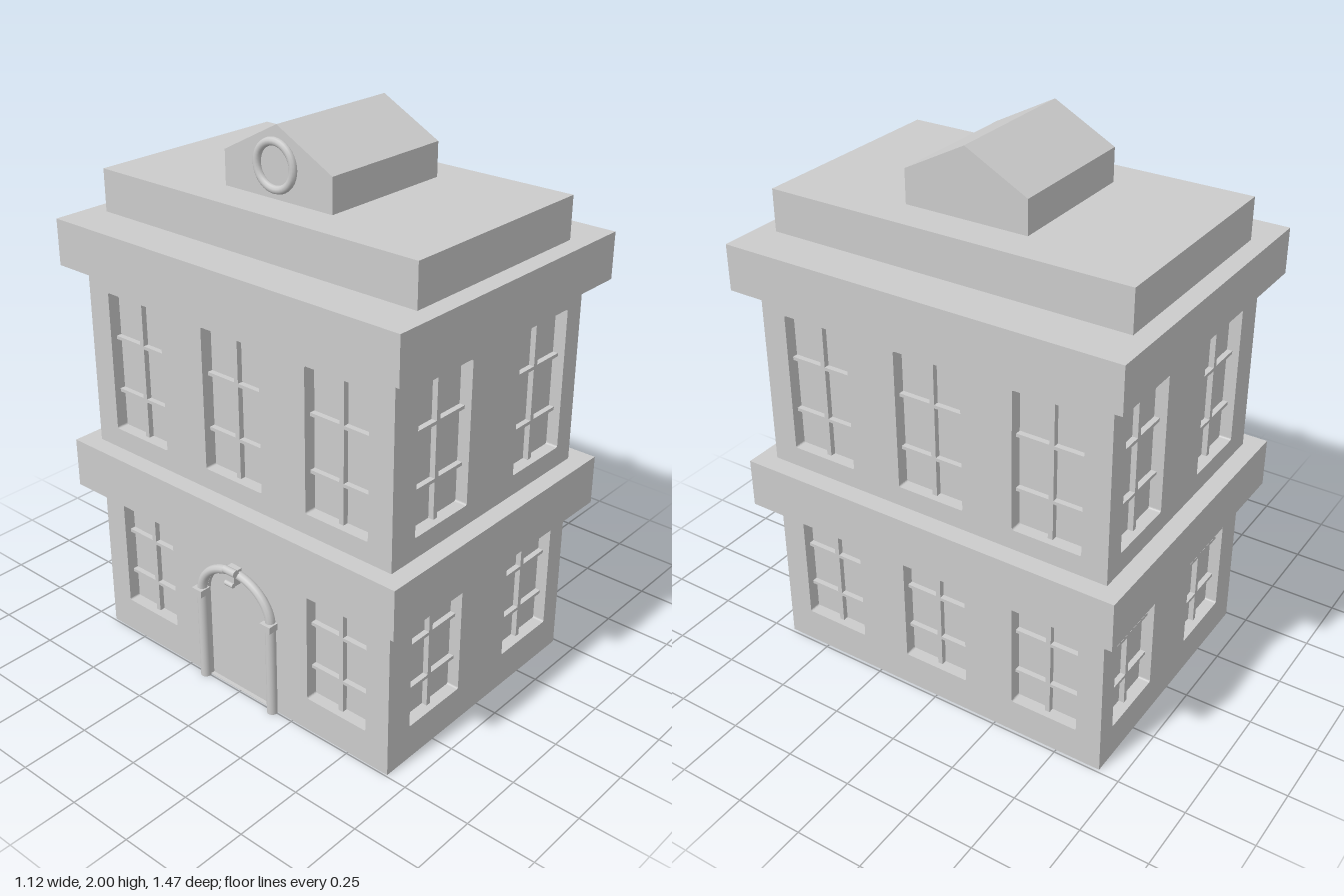
import * as THREE from 'three';

const mat = new THREE.MeshStandardMaterial({ color: 0xcccccc, flatShading: true, side: THREE.DoubleSide });
const smooth = new THREE.MeshStandardMaterial({ color: 0xcccccc, side: THREE.DoubleSide });

function add(parent, name, geo, x = 0, y = 0, z = 0, material = mat) {
  const mesh = new THREE.Mesh(geo, material);
  mesh.name = name;
  mesh.position.set(x, y, z);
  parent.add(mesh);
  return mesh;
}

// Outline of a window opening with slightly rounded corners
function windowOutline(T, cx, y0, y1, w = 0.262, r = 0.008) {
  const a = cx - w / 2, b = cx + w / 2, s = new T();
  s.moveTo(a + r, y0);
  s.lineTo(b - r, y0); s.quadraticCurveTo(b, y0, b, y0 + r);
  s.lineTo(b, y1 - r); s.quadraticCurveTo(b, y1, b - r, y1);
  s.lineTo(a + r, y1); s.quadraticCurveTo(a, y1, a, y1 - r);
  s.lineTo(a, y0 + r); s.quadraticCurveTo(a, y0, a + r, y0);
  return s;
}

// Outline of the arched doorway
function doorOutline(T) {
  const s = new T();
  s.moveTo(-0.15, 0.002);
  s.lineTo(0.15, 0.002);
  s.lineTo(0.15, 0.36);
  s.absellipse(0, 0.36, 0.15, 0.13, 0, Math.PI, false, 0);
  s.lineTo(-0.15, 0.002);
  return s;
}

// Strip that joins an opening to the pane set back behind it
function reveal(outline, depth) {
  const pts = outline.getPoints(8), n = pts.length;
  const geo = new THREE.PlaneGeometry(1, 1, n, 1);
  const pos = geo.attributes.position;
  for (let row = 0; row < 2; row++)
    for (let i = 0; i <= n; i++) {
      const p = pts[i % n];
      pos.setXYZ(row * (n + 1) + i, p.x, p.y, -row * depth);
    }
  geo.computeVertexNormals();
  return geo;
}

// One wall of one storey, facing local +z
function buildWall(parent, x0, x1, y0, y1, centres, w0, w1, bars, winW, hasDoor) {
  const shape = new THREE.Shape([[x0, y0], [x1, y0], [x1, y1], [x0, y1]].map(p => new THREE.Vector2(...p)));
  const depth = 0.045;
  for (const cx of centres) {
    const isDoor = hasDoor && cx === 0;
    const outline = T => isDoor ? doorOutline(T) : windowOutline(T, cx, w0, w1, winW);
    const d = isDoor ? 0.015 : depth;
    shape.holes.push(outline(THREE.Path));
    add(parent, isDoor ? 'doorReveal' : 'windowReveal', reveal(outline(THREE.Shape), d));
    add(parent, isDoor ? 'doorPanel' : 'windowPane', new THREE.ShapeGeometry(outline(THREE.Shape), 8), 0, 0, -d);
    if (isDoor) continue;
    // Glazing bars
    const z = -depth + 0.01;
    add(parent, 'verticalBar', new THREE.BoxGeometry(0.018, w1 - w0, 0.02), cx, (w0 + w1) / 2, z);
    for (const y of bars)
      add(parent, 'horizontalBar', new THREE.BoxGeometry(winW, 0.012, 0.02), cx, y, z);
  }
  add(parent, 'wall', new THREE.ShapeGeometry(shape, 8));
}

// Columns, arch and scroll around the door, facing local +z
function buildDoorFrame(parent) {
  const frame = new THREE.Group();
  frame.name = 'doorFrame';
  parent.add(frame);
  for (const s of [-1, 1]) {
    add(frame, 'doorColumn', new THREE.CylinderGeometry(0.019, 0.019, 0.36, 16), s * 0.164, 0.18, 0.011, smooth);
    add(frame, 'columnCapital', new THREE.BoxGeometry(0.046, 0.026, 0.044), s * 0.164, 0.362, 0.018);
  }
  const arch = add(frame, 'doorArch', new THREE.TorusGeometry(0.164, 0.018, 10, 32, Math.PI), 0, 0.362, 0.011, smooth);
  arch.scale.y = 0.85;
  const key = new THREE.Shape();
  key.moveTo(-0.016, 0.46); key.lineTo(0.016, 0.46);
  key.lineTo(0.024, 0.525); key.lineTo(-0.024, 0.525);
  add(frame, 'keystone', new THREE.ExtrudeGeometry(key, { depth: 0.034, bevelEnabled: false }));
  // Scroll rolls across the top and foot of the keystone
  for (const [y, r, l] of [[0.516, 0.014, 0.054], [0.468, 0.009, 0.038]]) {
    const roll = add(frame, 'scroll', new THREE.CylinderGeometry(r, r, l, 14), 0, y, 0.045 - r, smooth);
    roll.rotation.z = Math.PI / 2;
  }
}

// Hollow rectangular band running around the building
function bandGeometry(hx, hz, ix, iz, h) {
  const rect = (T, a, b) => new T([[-a, -b], [a, -b], [a, b], [-a, b]].map(p => new THREE.Vector2(...p)));
  const shape = rect(THREE.Shape, hx, hz);
  shape.holes.push(rect(THREE.Path, ix, iz));
  return new THREE.ExtrudeGeometry(shape, { depth: h, bevelEnabled: false }).rotateX(-Math.PI / 2);
}

export function createModel() {
  const model = new THREE.Group();
  model.name = 'townhouse';

  const xMin = -0.493, xMax = 0.488, zHalf = 0.67;
  const storeys = [
    { y0: 0, y1: 0.6, w0: 0.13, w1: 0.546, bars: [0.422, 0.25] },
    { y0: 0.775, y1: 1.45, w0: 0.853, w1: 1.366, bars: [1.195, 0.995] },
  ];
  const sides = [
    { name: 'frontWall', turn: 0, pos: [0, 0, zHalf], x: [xMin, xMax], centres: [-0.248, 0.275], w: 0.266 },
    { name: 'backWall', turn: Math.PI, pos: [0, 0, -zHalf], x: [-xMax, -xMin], centres: [-0.275, 0.248], w: 0.266 },
    { name: 'leftWall', turn: Math.PI / 2, pos: [xMax, 0, 0], x: [-zHalf, zHalf], centres: [-0.447, 0, 0.447], w: 0.256 },
    { name: 'rightWall', turn: -Math.PI / 2, pos: [xMin, 0, 0], x: [-zHalf, zHalf], centres: [-0.447, 0, 0.447], w: 0.256, door: true },
  ];
  for (const side of sides) {
    const group = new THREE.Group();
    group.name = side.name;
    group.position.set(...side.pos);
    group.rotation.y = side.turn;
    model.add(group);
    storeys.forEach((s, i) =>
      buildWall(group, ...side.x, s.y0, s.y1, side.centres, s.w0, s.w1, s.bars, side.w, side.door && i === 0));
    if (side.door) buildDoorFrame(group);
  }

  // Band between storeys, cornice and stepped roof
  add(model, 'storeyBand', bandGeometry(0.558, 0.735, 0.425, 0.605, 0.183), 0, 0.595, 0);
  add(model, 'cornice', new THREE.BoxGeometry(1.116, 0.165, 1.47), 0, 1.5275, 0);
  add(model, 'roofStep', new THREE.BoxGeometry(0.79, 0.15, 1.335), -0.003, 1.685, 0);

  // Gabled attic with a round frame on its right gable
  const gable = new THREE.Shape([[-0.228, 1.76], [0.228, 1.76], [0.228, 1.88], [0, 2], [-0.228, 1.88]]
    .map(p => new THREE.Vector2(...p)));
  const attic = new THREE.ExtrudeGeometry(gable, { depth: 0.52, bevelEnabled: false });
  attic.translate(0, 0, -0.26).rotateY(Math.PI / 2);
  add(model, 'attic', attic);
  const ring = add(model, 'roundWindowFrame', new THREE.TorusGeometry(0.077, 0.014, 10, 36), -0.265, 1.87, -0.004, smooth);
  ring.rotation.y = Math.PI / 2;

  return model;
}
